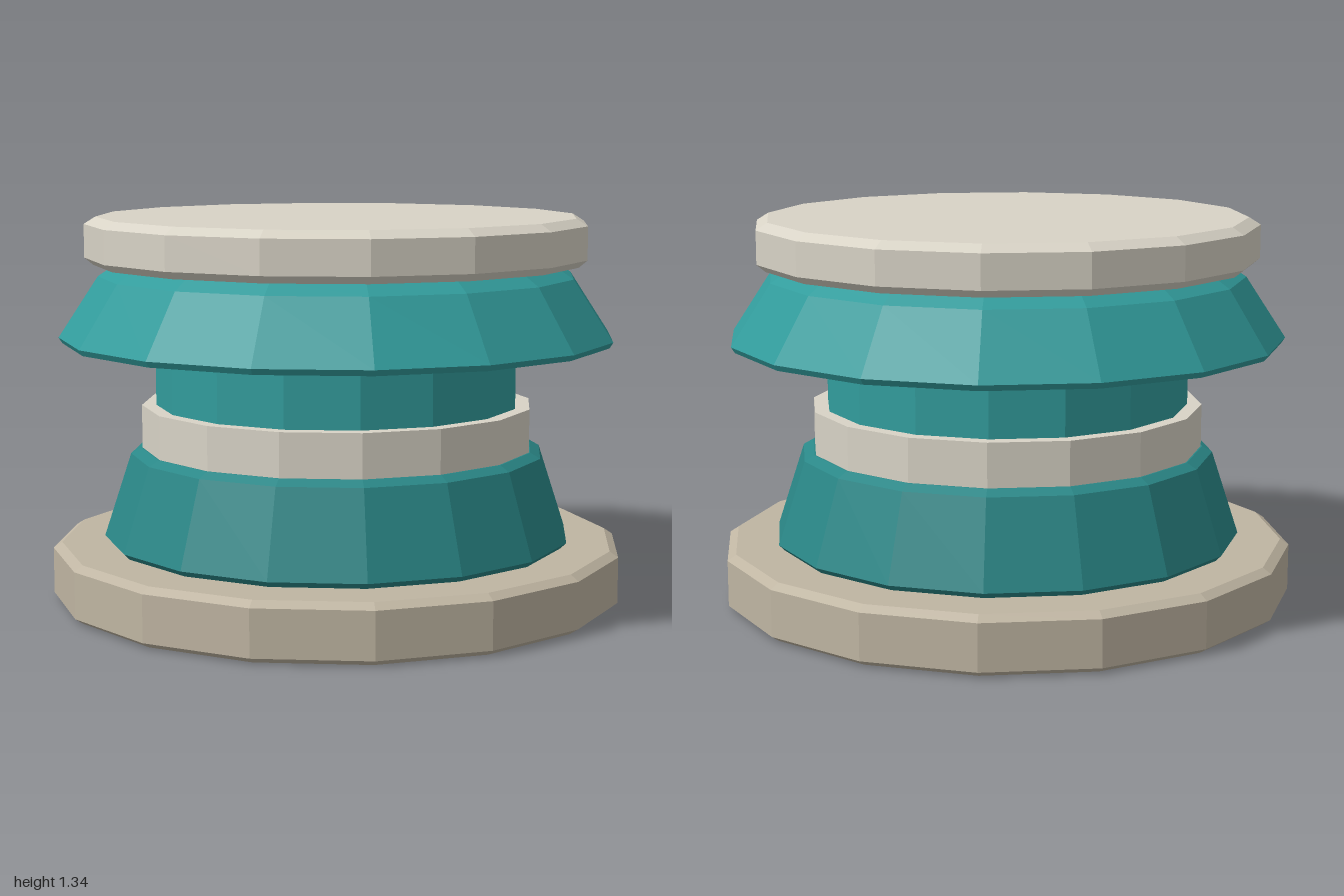
import * as THREE from 'three';

const SIDES = 16;

// Solid turned part from [radius, height] points, bottom to top
function turned(name, color, profile) {
  const bottom = profile[0][1];
  const top = profile[profile.length - 1][1];
  const points = [[0, bottom], ...profile, [0, top]].map(([r, y]) => new THREE.Vector2(r, y));
  const material = new THREE.MeshStandardMaterial({ color, flatShading: true });
  const mesh = new THREE.Mesh(new THREE.LatheGeometry(points, SIDES), material);
  mesh.name = name;
  return mesh;
}

export function createModel() {
  const group = new THREE.Group();
  group.name = 'pedestal';
  const stone = 0xbfb5a2, cream = 0xd8d3c6, teal = 0x329c9c, darkTeal = 0x2a8787;

  group.add(
    // Wide bevelled foot
    turned('base', stone, [[0.97, 0], [1, 0.02], [1, 0.18], [0.97, 0.2]]),
    // Tapered lower body
    turned('lowerBody', darkTeal, [[0.8, 0.2], [0.82, 0.22], [0.725, 0.51], [0.69, 0.53]]),
    // Plain ring around the waist
    turned('band', cream, [[0.685, 0.53], [0.685, 0.68]]),
    turned('neck', teal, [[0.635, 0.67], [0.635, 0.92]]),
    // Overhanging collar
    turned('collar', teal, [[0.955, 0.9], [0.968, 0.92], [0.83, 1.13], [0.77, 1.17]]),
    // Bevelled top disc
    turned('cap', cream, [[0.845, 1.17], [0.875, 1.195], [0.875, 1.31], [0.835, 1.335]])
  );
  return group;
}
